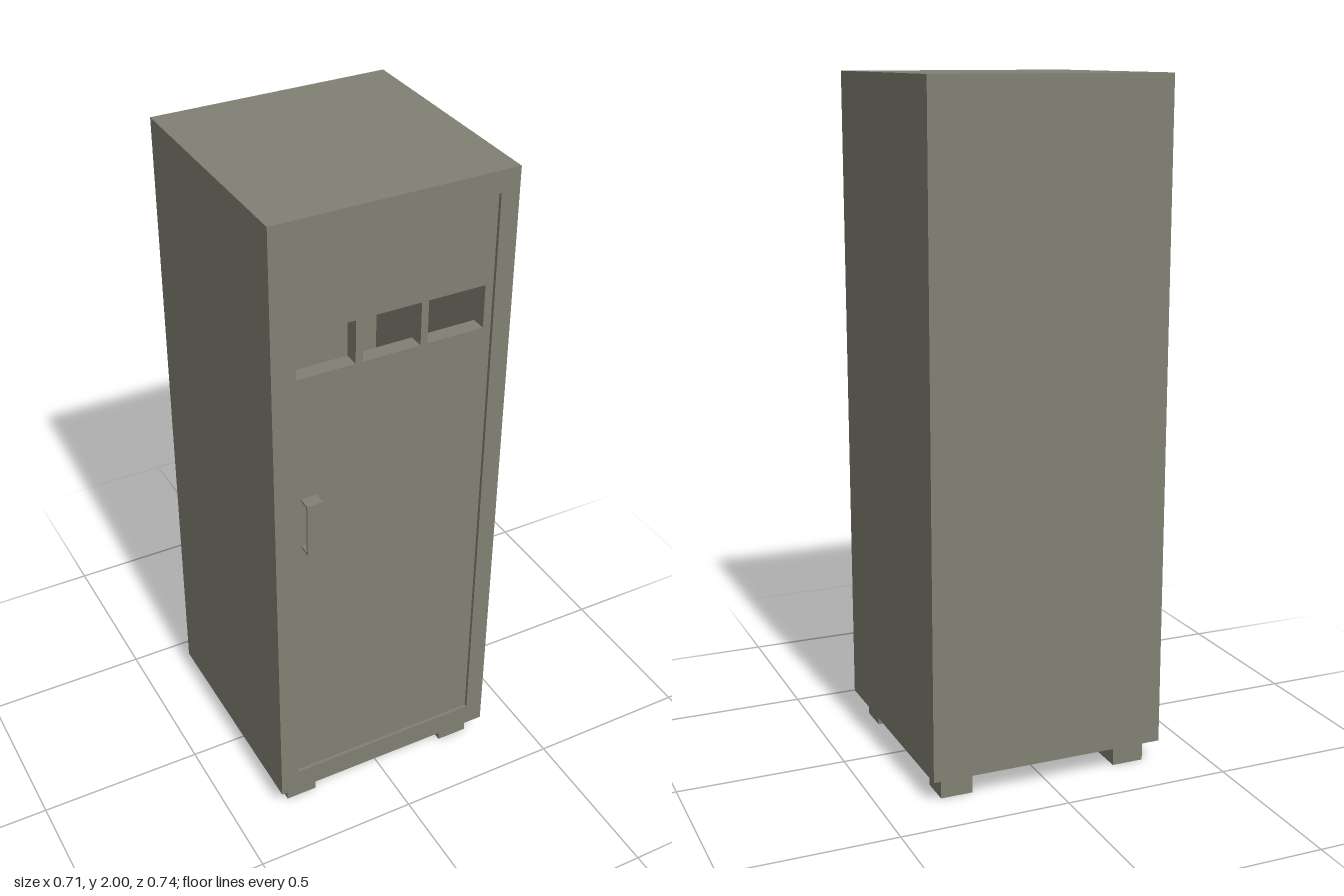
import * as THREE from 'three';

const W = 0.355, BOTTOM = 0.07, TOP = 2, BACK = -0.37, FRONT = 0.34, T = 0.015;

function rectPoints(x0, y0, x1, y1) {
  return [[x0, y0], [x1, y0], [x1, y1], [x0, y1]].map(([x, y]) => new THREE.Vector2(x, y));
}

// Flat panel facing +z with rectangular openings
function panel(outer, holes, z0, z1) {
  const shape = new THREE.Shape(rectPoints(...outer));
  for (const h of holes) shape.holes.push(new THREE.Path(rectPoints(...h).reverse()));
  const geo = new THREE.ExtrudeGeometry(shape, { depth: z1 - z0, bevelEnabled: false });
  return geo.translate(0, 0, z0);
}

// Box given by its two extreme corners
function block(x0, y0, z0, x1, y1, z1) {
  return new THREE.BoxGeometry(x1 - x0, y1 - y0, z1 - z0)
    .translate((x0 + x1) / 2, (y0 + y1) / 2, (z0 + z1) / 2);
}

export function createModel() {
  const group = new THREE.Group();
  group.name = 'cabinet';
  const metal = new THREE.MeshStandardMaterial({ color: 0x808073 });
  metal.name = 'greyOlivePaint';
  const add = (name, geo) => {
    const mesh = new THREE.Mesh(geo, metal);
    mesh.name = name;
    group.add(mesh);
  };

  // Hollow body: a rectangular sleeve closed by a back panel
  const inner = [-W + T, BOTTOM + T, W - T, TOP - T];
  add('bodyShell', panel([-W, BOTTOM, W, TOP], [inner], BACK, 0.285));
  add('backPanel', block(inner[0], inner[1], BACK, inner[2], inner[3], BACK + T));

  // Front frame and the slightly recessed door with three openings
  const doorRect = [-0.3, 0.142, 0.3, 1.937];
  add('frontFrame', panel([-W, BOTTOM, W, TOP], [doorRect], 0.285, FRONT));
  const slots = [-0.28, -0.087, 0.105].map((x) => [x, 1.545, x + 0.171, 1.674]);
  const doorFace = FRONT - 0.01;
  add('door', panel(doorRect, slots, 0.285, doorFace));

  // Strap handle: a grip on two thin brackets
  const hx0 = -0.272, hx1 = -0.224, hy0 = 1.0, hy1 = 1.165, hz = 0.368, s = 0.006;
  add('handleGrip', block(hx0, hy0, hz - s, hx1, hy1, hz));
  for (const y of [hy0, hy1 - s]) add('handleBracket', block(hx0, y, doorFace, hx1, y + s, hz - s));

  // Four square feet
  for (const x of [-0.272, 0.272]) {
    for (const z of [-0.287, 0.258]) {
      add('foot', block(x - 0.048, 0, z - 0.047, x + 0.048, BOTTOM, z + 0.047));
    }
  }
  return group;
}
